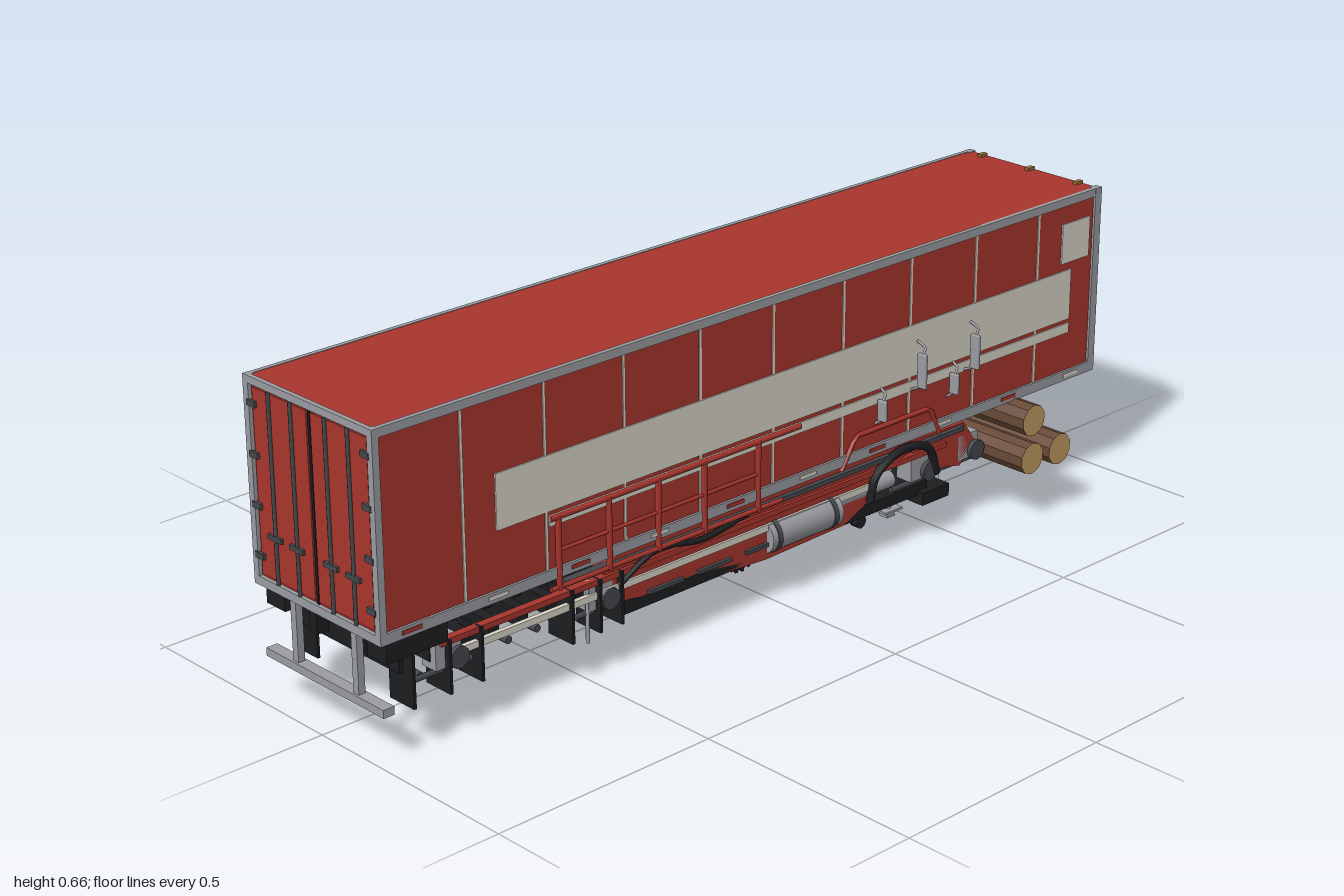
import * as THREE from 'three';
import { RoundedBoxGeometry } from 'three/addons/geometries/RoundedBoxGeometry.js';

export function createModel() {
  const root = new THREE.Group();
  root.name = 'boxTrailer';
  const mat = (name, color) => {
    const m = new THREE.MeshStandardMaterial({ color });
    m.name = name;
    return m;
  };
  const red = mat('red paint', 0xa8352d), cream = mat('cream panel', 0xd8d4c8);
  const grey = mat('grey metal', 0x9a9ca2), dark = mat('dark grey', 0x45484c);
  const black = mat('black', 0x1c1e20), bark = mat('bark', 0x694a38);
  const wood = mat('cut wood', 0xc09a60), amber = mat('amber', 0x9a6a35);

  const add = (name, geo, m, x = 0, y = 0, z = 0) => {
    const mesh = new THREE.Mesh(geo, m);
    mesh.name = name;
    mesh.position.set(x, y, z);
    root.add(mesh);
    return mesh;
  };
  // Box given by its limits on each axis
  const box = (name, m, x0, x1, y0, y1, z0, z1) => add(name,
    new THREE.BoxGeometry(x1 - x0, y1 - y0, z1 - z0), m, (x0 + x1) / 2, (y0 + y1) / 2, (z0 + z1) / 2);
  // The same box on both flanks
  const pair = (name, m, x0, x1, y0, y1, z0, z1) => {
    box(name + 'Left', m, x0, x1, y0, y1, -z1, -z0);
    box(name + 'Right', m, x0, x1, y0, y1, z0, z1);
  };
  // Cylinder along one axis
  const rod = (name, m, axis, r, len, x, y, z, sides = 12) => {
    const g = new THREE.CylinderGeometry(r, r, len, sides);
    if (axis === 'x') g.rotateZ(Math.PI / 2);
    if (axis === 'z') g.rotateX(Math.PI / 2);
    return add(name, g, m, x, y, z);
  };
  // Bent pipe with straight runs between points
  const pipe = (name, m, r, pts) => {
    const path = new THREE.CurvePath();
    const v = pts.map(p => new THREE.Vector3(...p));
    for (let i = 1; i < v.length; i++) path.add(new THREE.LineCurve3(v[i - 1], v[i]));
    add(name, new THREE.TubeGeometry(path, (v.length - 1) * 6, r, 6), m);
  };
  const bend = (name, m, r, pts) => add(name, new THREE.TubeGeometry(
    new THREE.CatmullRomCurve3(pts.map(p => new THREE.Vector3(...p))), 24, r, 8), m);

  // Cargo body
  box('cargoBody', red, -0.99, 0.945, 0.25, 0.657, -0.182, 0.182);
  box('floorPan', black, -0.985, 0.94, 0.243, 0.25, -0.178, 0.178);
  pair('topRail', grey, -0.995, 0.95, 0.64, 0.658, 0.176, 0.186);
  pair('bottomRail', grey, -0.995, 0.95, 0.244, 0.266, 0.176, 0.187);
  pair('frontPost', grey, 0.932, 0.952, 0.25, 0.658, 0.17, 0.187);
  pair('rearPost', grey, -0.998, -0.983, 0.244, 0.658, 0.172, 0.187);
  for (let i = 0; i < 9; i++) {
    const x = -0.8 + i * 0.1945;
    pair('wallSeam', cream, x - 0.003, x + 0.003, 0.266, 0.64, 0.18, 0.1838);
  }
  pair('longPanel', cream, -0.725, 0.865, 0.383, 0.495, 0.18, 0.185);
  pair('longPanelStripe', cream, -0.6, 0.865, 0.352, 0.374, 0.18, 0.185);
  pair('squarePanel', cream, 0.832, 0.92, 0.512, 0.6, 0.18, 0.185);
  for (let i = 0; i < 10; i++) {
    const x = -0.95 + i * 0.2;
    pair('sideMarker', i % 2 ? cream : red, x, x + 0.045, 0.252, 0.26, 0.186, 0.189);
  }
  for (const z of [-0.135, 0, 0.135]) box('roofMarker', amber, 0.925, 0.945, 0.657, 0.663, z - 0.006, z + 0.006);

  // Rear doors with seams, locking rods and hinges
  box('rearHeader', grey, -0.998, -0.988, 0.643, 0.658, -0.172, 0.172);
  box('rearSill', grey, -0.998, -0.988, 0.244, 0.262, -0.172, 0.172);
  box('doorSeam', black, -0.993, -0.989, 0.262, 0.643, -0.003, 0.003);
  pair('rearDoor', red, -0.994, -0.989, 0.268, 0.637, 0.006, 0.166);
  for (const s of [-1, 1]) {
    for (const z of [0.05, 0.115]) {
      rod('lockRod', dark, 'y', 0.004, 0.38, -0.996, 0.452, s * z, 8);
      box('lockHandle', dark, -1, -0.994, 0.35, 0.36, s * z - 0.02, s * z + 0.02);
    }
    for (let i = 0; i < 4; i++) box('doorHinge', dark, -1, -0.994, 0.3 + i * 0.1, 0.312 + i * 0.1, s * 0.165 - 0.012, s * 0.165 + 0.012);
  }

  // Cooling unit on the front wall
  add('coolingUnit', new RoundedBoxGeometry(0.05, 0.195, 0.27, 2, 0.008), cream, 0.97, 0.532, 0);
  box('coolingBase', dark, 0.945, 0.985, 0.432, 0.438, -0.13, 0.13);
  box('grilleBack', black, 0.99, 0.997, 0.507, 0.6, -0.105, 0.105);
  for (let i = 0; i < 6; i++) box('grilleSlat', grey, 0.995, 0.9985, 0.513 + i * 0.0148, 0.517 + i * 0.0148, -0.105, 0.105);
  pipe('unitHandle', grey, 0.0012, [[0.996, 0.48, 0.06], [0.996, 0.45, 0.06], [0.996, 0.45, -0.06], [0.996, 0.48, -0.06]]);
  add('connectorBox', new RoundedBoxGeometry(0.025, 0.045, 0.045, 2, 0.004), dark, 0.957, 0.311, -0.075);
  for (const z of [-0.064, -0.088]) bend('connectorCable', black, 0.002, [[0.965, 0.295, z], [0.985, 0.285, z], [0.975, 0.273, z]]);

  // Belly: beams, floor plate, red side fairings
  pair('frameBeam', black, -0.96, 0.6, 0.17, 0.245, 0.055, 0.075);
  pair('upperFrameBeam', black, 0.5, 0.9, 0.238, 0.25, 0.03, 0.09);
  box('bellyPlate', black, -0.4, 0.45, 0.1, 0.125, -0.165, 0.165);
  box('bellyNose', black, 0.42, 0.5, 0.082, 0.11, -0.182, 0.182);
  const fairing = new THREE.Shape([[-0.46, 0.215], [-0.4, 0.13], [-0.2, 0.105], [-0.02, 0.095], [0.2, 0.1],
    [0.27, 0.13], [0.32, 0.19], [0.4, 0.205], [0.45, 0.15], [0.55, 0.13], [0.6, 0.17], [0.56, 0.225], [0.1, 0.235], [-0.4, 0.235]]
    .map(p => new THREE.Vector2(...p)));
  for (const z of [-0.165, 0.14]) add('sideFairing',
    new THREE.ExtrudeGeometry(fairing, { depth: 0.025, bevelEnabled: false }), red, 0, 0, z);
  pair('lightBar', cream, -0.8, 0.27, 0.158, 0.172, 0.16, 0.17);
  pair('lowerRail', red, -0.85, 0.5, 0.188, 0.2, 0.155, 0.172);
  pair('darkRail', dark, -0.55, 0.55, 0.212, 0.222, 0.155, 0.175);
  box('frontCrossBeam', cream, 0.5, 0.52, 0.095, 0.11, -0.135, 0.135);
  for (let i = 0; i < 4; i++) box('skirtStep', dark, -0.34 + i * 0.13, -0.25 + i * 0.13, 0.125, 0.133, 0.164, 0.172);

  // Features on both flanks
  for (const s of [-1, 1]) {
    const zs = s * 0.186;
    // Side rack
    rod('rackTop', red, 'x', 0.006, 0.65, -0.275, 0.368, zs, 8);
    rod('rackMid', red, 'x', 0.004, 0.52, -0.32, 0.3, zs, 8);
    rod('rackFoot', red, 'x', 0.005, 0.6, -0.3, 0.225, zs, 8);
    for (const x of [-0.58, -0.455, -0.33, -0.21, -0.065]) rod('rackPost', red, 'y', 0.006, 0.15, x, 0.295, zs, 8);
    pipe('redBrace', red, 0.005, [[0.17, 0.235, zs], [0.21, 0.3, zs], [0.43, 0.3, zs], [0.46, 0.235, zs]]);
    // Arched hoses
    bend('wheelArch', black, 0.009, [[0.27, 0.135, s * 0.172], [0.285, 0.19, s * 0.175], [0.36, 0.225, s * 0.177], [0.44, 0.205, s * 0.175], [0.47, 0.14, s * 0.172]]);
    bend('hose', black, 0.006, [[-0.42, 0.17, s * 0.17], [-0.33, 0.215, s * 0.175], [-0.2, 0.2, s * 0.174], [-0.08, 0.215, s * 0.172]]);
    // Air tanks
    rod('mainTank', grey, 'x', 0.036, 0.2, 0.08, 0.14, s * 0.15, 20);
    for (const x of [0.0, 0.16]) rod('tankStrap', dark, 'x', 0.038, 0.012, x, 0.14, s * 0.15, 20);
    rod('smallTank', grey, 'x', 0.018, 0.16, 0.27, 0.155, s * 0.15, 16);
    rod('tankDrain', black, 'z', 0.014, 0.02, 0.28, 0.075, s * 0.13);
    box('drainBracket', dark, 0.276, 0.284, 0.08, 0.14, s * 0.13 - 0.004, s * 0.13 + 0.004);
    // Support legs with foot plates
    for (const x of [0.37, 0.47]) {
      rod('supportLeg', grey, 'y', 0.008, 0.1, x, 0.125, s * 0.128);
      box('legPlate', grey, x - 0.025, x + 0.025, 0.072, 0.077, s * 0.128 - 0.02, s * 0.128 + 0.02);
      box('legFoot', grey, x - 0.012, x + 0.012, 0.059, 0.064, s * 0.128 - 0.012, s * 0.128 + 0.012);
    }
    // Suspension clusters
    for (const [x, y] of [[-0.83, 0.165], [-0.46, 0.16], [0.43, 0.16], [0.575, 0.165]]) {
      box('suspensionBlock', grey, x - 0.03, x + 0.03, y - 0.025, y + 0.03, s * 0.145 - 0.02, s * 0.145 + 0.02);
      rod('suspensionDrum', dark, 'z', 0.022, 0.05, x + 0.02, y - 0.01, s * 0.15);
      rod('suspensionRod', dark, 'x', 0.006, 0.14, x - 0.01, y - 0.03, s * 0.155, 8);
    }
    box('rearLampBox', black, -0.98, -0.84, 0.2, 0.243, s * 0.15 - 0.028, s * 0.15 + 0.028);
    rod('hangerRod', grey, 'y', 0.004, 0.13, -0.49, 0.135, s * 0.16, 8);
    // Mud flaps
    for (const x of [-0.92, -0.835, -0.76, -0.54, -0.47, -0.415])
      box('mudFlap', black, x - 0.003, x + 0.003, 0.09, 0.2, s * 0.143 - 0.035, s * 0.143 + 0.035);
    // Bumper uprights
    box('bumperUpright', grey, -0.985, -0.97, 0.1, 0.245, s * 0.09 - 0.008, s * 0.09 + 0.008);
    // Plates on bent brackets
    [[0.27, 0.32, 0.365, 0.19], [0.375, 0.365, 0.44, 0.2], [0.485, 0.32, 0.365, 0.19], [0.535, 0.365, 0.44, 0.2]].forEach(([x, y0, y1, z]) => {
      add('bracketPlate', new RoundedBoxGeometry(0.009, y1 - y0, 0.023, 2, 0.003), grey, x, (y0 + y1) / 2, s * (z + 0.0115));
      pipe('plateBracket', grey, 0.003, [[x + 0.012, y1 + 0.018, s * 0.186], [x + 0.008, y1 + 0.012, s * (z + 0.012)],
        [x, y1 - 0.005, s * (z + 0.012)], [x, y0 + 0.005, s * (z + 0.012)], [x - 0.004, y0 - 0.008, s * 0.186]]);
    });
    // Bent stakes beside the logs
    bend('logStake', red, 0.007, [[0.79, 0.25, s * 0.065], [0.795, 0.19, s * 0.065], [0.785, 0.15, s * 0.065], [0.765, 0.14, s * 0.065]]);
    box('logSkid', dark, 0.52, 0.79, 0.103, 0.11, s * 0.08 - 0.012, s * 0.08 + 0.012);
    box('skidHanger', cream, 0.55, 0.575, 0.11, 0.24, s * 0.08 - 0.01, s * 0.08 + 0.01);
  }
  box('bumperBar', grey, -0.99, -0.965, 0.095, 0.112, -0.175, 0.175);

  // Rear underside cross members
  for (let i = 0; i < 8; i++) {
    const x = -0.92 + i * 0.07;
    box('crossMember', black, x - 0.012, x + 0.012, 0.155, 0.19, -0.15, 0.15);
    rod('crossTube', dark, 'z', 0.008, 0.3, x + 0.035, 0.135, 0, 8);
  }
  rod('couplingPin', dark, 'y', 0.007, 0.02, 0.72, 0.235, 0);

  // Centre wheel with chunky tread
  const tyre = new THREE.LatheGeometry([[0.024, -0.028], [0.044, -0.03], [0.05, -0.024], [0.05, 0.024], [0.044, 0.03], [0.024, 0.028]]
    .map(p => new THREE.Vector2(...p)), 28);
  tyre.rotateX(Math.PI / 2);
  add('tyre', tyre, black, 0.045, 0.053, 0);
  rod('hub', dark, 'z', 0.026, 0.05, 0.045, 0.053, 0, 20);
  rod('hubCap', cream, 'z', 0.011, 0.058, 0.045, 0.053, 0, 12);
  for (let i = 0; i < 18; i++) for (const s of [-1, 1]) {
    const a = (i + (s > 0 ? 0.5 : 0)) * Math.PI / 9;
    const lug = add('treadLug', new THREE.BoxGeometry(0.006, 0.007, 0.027), black,
      0.045 + Math.sin(a) * 0.0495, 0.053 + Math.cos(a) * 0.0495, s * 0.015);
    lug.rotation.set(0, s * 0.35, -a, 'ZYX');
  }

  // Stacked logs with pale cut ends
  for (const [x, y, z0, z1] of [[0.695, 0.213, -0.27, 0.242], [0.655, 0.148, -0.255, 0.275], [0.737, 0.148, -0.28, 0.28]]) {
    const g = new THREE.CylinderGeometry(0.035, 0.036, z1 - z0, 10).toNonIndexed();
    g.computeVertexNormals();
    g.rotateX(Math.PI / 2);
    add('log', g, [bark, wood, wood], x, y, (z0 + z1) / 2);
  }
  return root;
}
